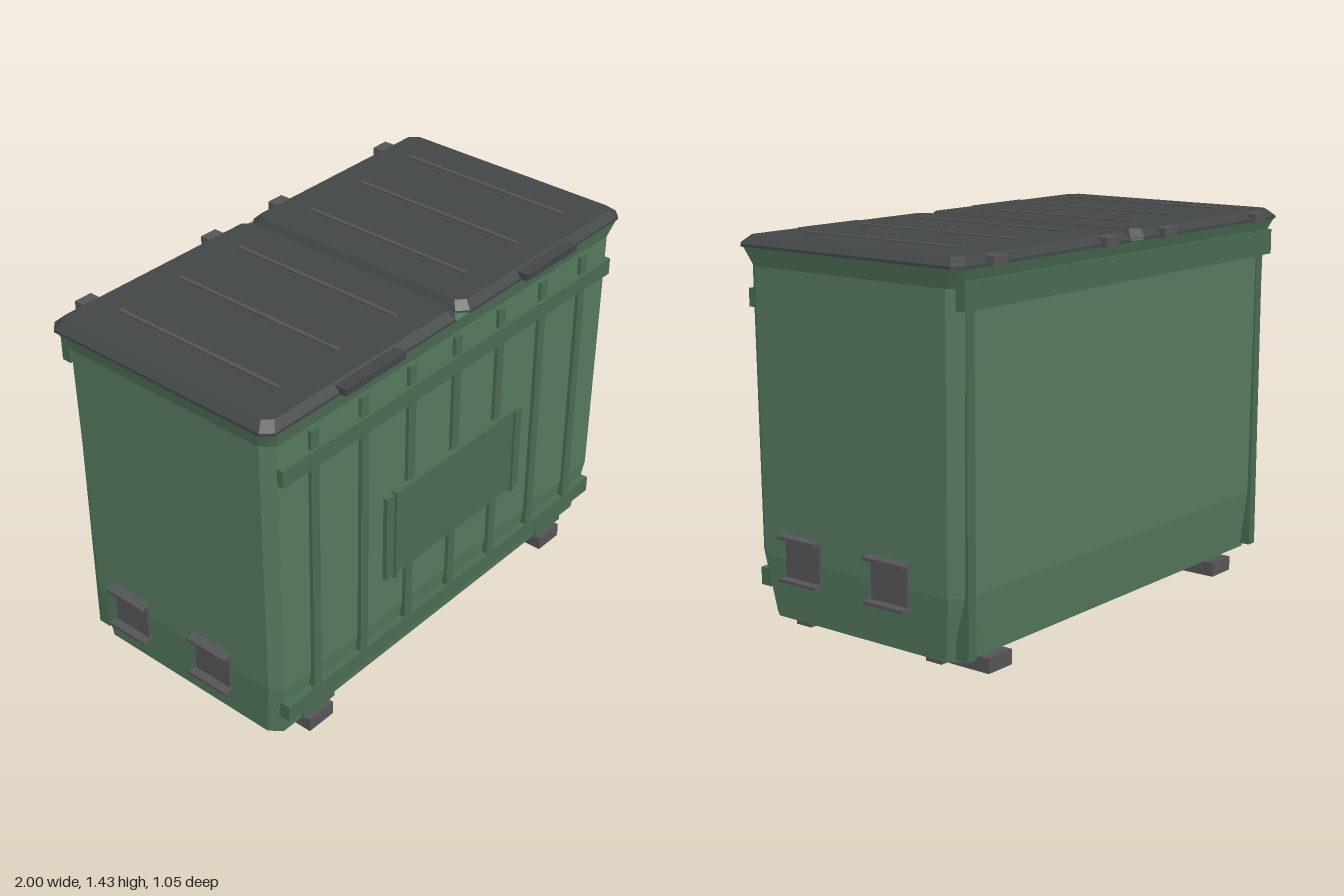
import * as THREE from 'three';

const mat = (color) => new THREE.MeshStandardMaterial({ color, flatShading: true });

export function createModel() {
  const green = mat(0x56795f), darkGreen = mat(0x4a6b53);
  const plastic = mat(0x434646), steel = mat(0x555557);
  const model = new THREE.Group();

  function add(name, geometry, material, parent = model) {
    const mesh = new THREE.Mesh(geometry, material);
    mesh.name = name;
    parent.add(mesh);
    return mesh;
  }

  // Box given by its extents along each axis
  function box(name, material, [x0, x1], [y0, y1], [z0, z1], parent = model) {
    const g = new THREE.BoxGeometry(x1 - x0, y1 - y0, z1 - z0);
    g.translate((x0 + x1) / 2, (y0 + y1) / 2, (z0 + z1) / 2);
    return add(name, g, material, parent);
  }

  // Solid through stacked rectangles with cut corners: [y, x0, x1, z0, z1, cutX, cutZ]
  function loft(sections) {
    const pos = [], idx = [];
    for (const [y, x0, x1, z0, z1, cx, cz] of sections) {
      const ring = [
        [x0 + cx, z1], [x1 - cx, z1], [x1, z1 - cz], [x1, z0 + cz],
        [x1 - cx, z0], [x0 + cx, z0], [x0, z0 + cz], [x0, z1 - cz],
      ];
      for (const [x, z] of ring) pos.push(x, y, z);
    }
    const top = (sections.length - 1) * 8;
    for (let s = 0; s < top; s += 8) {
      for (let i = 0; i < 8; i++) {
        const a = s + i, b = s + (i + 1) % 8;
        idx.push(a, b, b + 8, a, b + 8, a + 8);
      }
    }
    for (let i = 1; i < 7; i++) idx.push(0, i + 1, i, top, top + i, top + i + 1);
    const indexed = new THREE.BufferGeometry();
    indexed.setAttribute('position', new THREE.Float32BufferAttribute(pos, 3));
    indexed.setIndex(idx);
    const g = indexed.toNonIndexed();
    g.computeVertexNormals();
    return g;
  }

  // Container body: tapered foot, tall walls, flared rim
  add('body', loft([
    [0.07, -0.9, 0.9, -0.43, 0.44, 0.035, 0.045],
    [0.3, -0.925, 0.925, -0.46, 0.475, 0.035, 0.045],
    [1.32, -0.935, 0.935, -0.47, 0.477, 0.035, 0.045],
    [1.39, -0.96, 0.96, -0.505, 0.5, 0.04, 0.04],
  ]), green);

  // Front stiffeners
  const frontFrame = new THREE.Group();
  frontFrame.name = 'frontFrame';
  model.add(frontFrame);
  for (let i = -3; i <= 3; i++) {
    const x = i * 0.246;
    box('frontRib', darkGreen, [x - 0.019, x + 0.019], [0.2, 1.31], [0.45, 0.49], frontFrame);
  }
  box('upperFrontRail', darkGreen, [-0.9, 0.9], [1.17, 1.235], [0.46, 0.5], frontFrame);
  box('lowerFrontRail', darkGreen, [-0.89, 0.89], [0.165, 0.23], [0.445, 0.492], frontFrame);

  // Front panel with a raised holder frame
  const panel = new THREE.Group();
  panel.name = 'frontPanel';
  model.add(panel);
  box('panelPlate', darkGreen, [-0.385, 0.385], [0.485, 0.835], [0.482, 0.5], panel);
  for (const s of [-1, 1])
    box('panelSideLip', darkGreen, [s * 0.34 - 0.006, s * 0.34 + 0.006], [0.475, 0.845], [0.485, 0.51], panel);
  box('panelTopLip', darkGreen, [-0.34, 0.34], [0.835, 0.847], [0.485, 0.51], panel);

  // Back rail and posts
  box('backRail', darkGreen, [-0.92, 0.92], [1.25, 1.345], [-0.494, -0.455]);
  for (const s of [-1, 1])
    box('backPost', darkGreen, [s * 0.87 - 0.02, s * 0.87 + 0.02], [0.085, 1.25], [-0.473, -0.42]);

  // Side lifting brackets: outward-facing channels
  for (const s of [-1, 1]) {
    for (const z of [0.205, -0.195]) {
      const bracket = new THREE.Group();
      bracket.name = 'sideBracket';
      const span = (a, b) => (s > 0 ? [a, b] : [-b, -a]);
      box('bracketPlate', steel, span(0.955, 0.967), [0.245, 0.4], [z - 0.081, z + 0.081], bracket);
      for (const y of [0.24, 0.393])
        box('bracketFlange', steel, span(0.957, 1), [y, y + 0.012], [z - 0.089, z + 0.089], bracket);
      model.add(bracket);
    }
  }

  // Underframe
  for (const s of [-1, 1]) {
    box('skid', steel, [s * 0.69 - 0.062, s * 0.69 + 0.062], [0, 0.055], [-0.445, 0.46]);
    box('skidTab', darkGreen, [s * 0.69 - 0.082, s * 0.69 + 0.082], [0.065, 0.11], [0.42, 0.45]);
  }
  for (const z of [0.315, -0.295])
    box('underRail', steel, [-0.86, 0.86], [0.038, 0.072], [z - 0.035, z + 0.035]);

  // Pair of lids with ribs, grips and hinges
  for (const s of [-1, 1]) {
    const lid = new THREE.Group();
    lid.name = s > 0 ? 'leftLid' : 'rightLid';
    model.add(lid);
    const span = (a, b) => (s > 0 ? [a, b] : [-b, -a]);
    add('lidPanel', loft([
      [1.387, ...span(0.002, 0.965), -0.505, 0.5, 0.035, 0.035],
      [1.397, ...span(0.004, 0.965), -0.505, 0.5, 0.035, 0.035],
      [1.424, ...span(0.025, 0.932), -0.478, 0.473, 0.03, 0.03],
    ]), plastic, lid);
    for (const x of [0.19, 0.478, 0.766])
      box('lidRib', steel, span(x - 0.007, x + 0.007), [1.415, 1.431], [-0.36, 0.365], lid);
    box('lidGrip', plastic, span(0.33, 0.63), [1.392, 1.418], [0.47, 0.526], lid);
    for (const x of [0.177, 0.782])
      box('hinge', steel, span(x - 0.036, x + 0.036), [1.385, 1.42], [-0.526, -0.475], lid);
  }

  return model;
}
